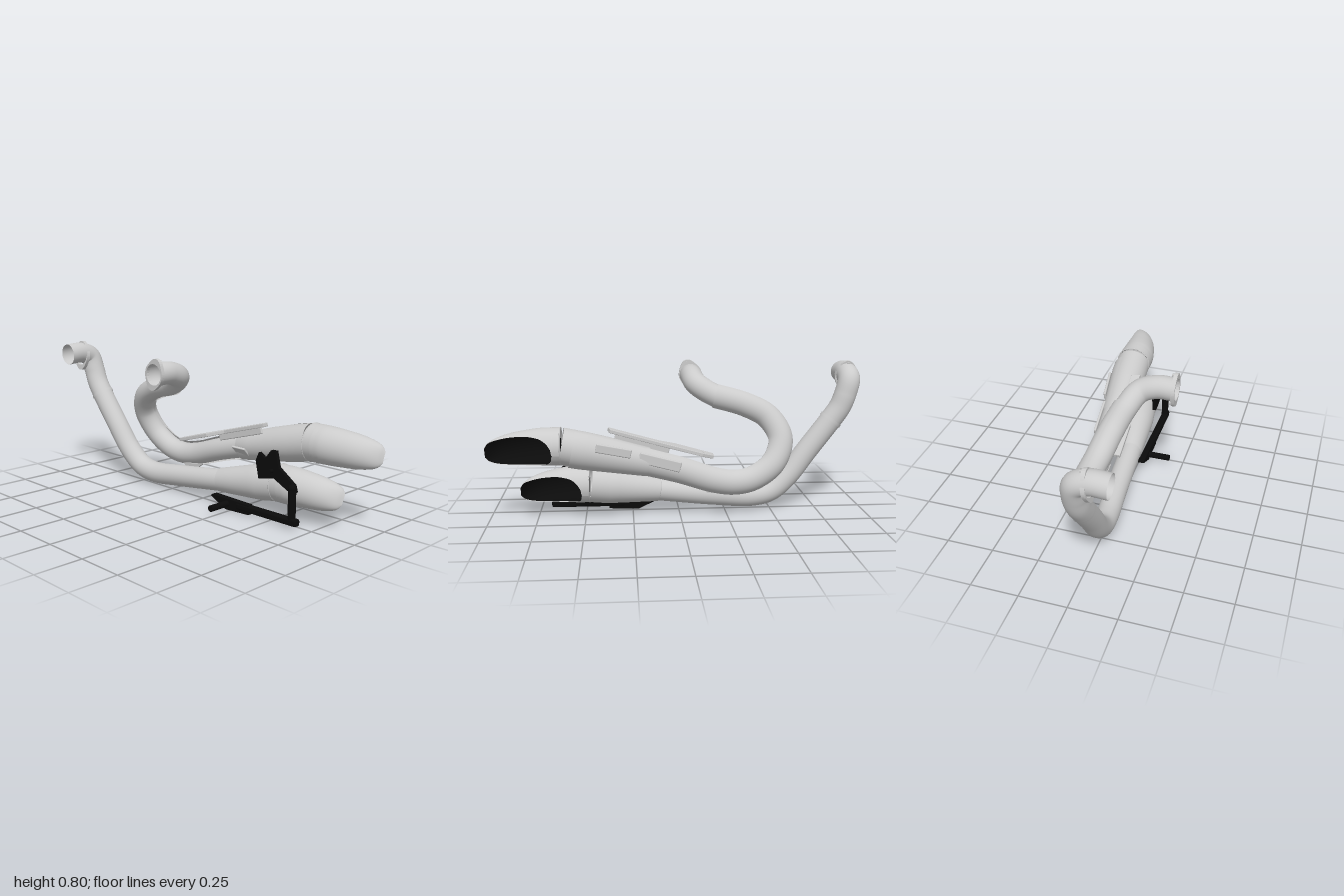
import * as THREE from 'three';
import { RoundedBoxGeometry } from 'three/addons/geometries/RoundedBoxGeometry.js';

const V = (p) => new THREE.Vector3(...p);
const grey = new THREE.MeshStandardMaterial({ color: 0xcccccc, side: THREE.DoubleSide });
const black = new THREE.MeshStandardMaterial({ color: 0x0b0b0b, side: THREE.DoubleSide });

const curveOf = (pts) => new THREE.CatmullRomCurve3(pts.map(V));

// Grid surface from a function of row and column in 0..1
function grid(rows, cols, fn) {
  const pos = [], idx = [];
  for (let i = 0; i <= rows; i++)
    for (let j = 0; j <= cols; j++) pos.push(...fn(i / rows, j / cols));
  for (let i = 0; i < rows; i++)
    for (let j = 0; j < cols; j++) {
      const a = i * (cols + 1) + j, b = a + cols + 1;
      idx.push(a, b, b + 1, a, b + 1, a + 1);
    }
  const g = new THREE.BufferGeometry();
  g.setAttribute('position', new THREE.Float32BufferAttribute(pos, 3));
  g.setIndex(idx);
  g.computeVertexNormals();
  return g;
}

// Open shell following a curve, wrapped around its +x side
function shell(curve, radius, halfAngle, rows) {
  return grid(rows, 24, (s, w) => {
    const t = curve.getTangentAt(s);
    const u = new THREE.Vector3(1, 0, 0).addScaledVector(t, -t.x).normalize();
    const v = t.clone().cross(u);
    const a = halfAngle * (1 - 2 * w), r = radius(s);
    return curve.getPointAt(s)
      .addScaledVector(u, r * Math.cos(a)).addScaledVector(v, r * Math.sin(a)).toArray();
  });
}

// Place a y-aligned mesh so that it runs from a to b
function along(mesh, a, b) {
  mesh.position.copy(a);
  mesh.quaternion.setFromUnitVectors(new THREE.Vector3(0, 1, 0), b.clone().sub(a).normalize());
  return mesh;
}

// Flat plate drawn in the side plane (z, y) and given a thickness along x
function sidePlate(pts, depth) {
  const shape = new THREE.Shape(pts.map(([z, y]) => new THREE.Vector2(-z, y)));
  return new THREE.ExtrudeGeometry(shape, { depth, bevelEnabled: false }).rotateY(Math.PI / 2);
}

// Tip stations: distance, centre x, half width, half height, wrap angle
const TIP = [
  [0, 0, 0.098, 0.098, Math.PI], [0.04, 0, 0.098, 0.098, Math.PI], [0.046, 0, 0.098, 0.098, 2.8],
  [0.065, 0, 0.097, 0.098, 2.5], [0.1, 0, 0.095, 0.097, 2.22], [0.18, 0.01, 0.087, 0.092, 1.95],
  [0.26, 0.025, 0.076, 0.084, 1.83], [0.32, 0.04, 0.058, 0.071, 1.74], [0.36, 0.05, 0.028, 0.052, 1.65],
  [0.378, 0.056, 0.003, 0.026, 1.6],
];

export function createModel() {
  const root = new THREE.Group();
  const add = (name, geo, mat = grey, pos = [0, 0, 0], rot = [0, 0, 0], parent = root) => {
    const m = new THREE.Mesh(geo, mat);
    m.name = name;
    m.position.set(...pos);
    m.rotation.set(...rot);
    parent.add(m);
    return m;
  };
  const rod = (name, a, b, r, sides = 20) => {
    const A = V(a), B = V(b), len = A.distanceTo(B);
    const g = new THREE.CylinderGeometry(r, r, len, sides).translate(0, len / 2, 0);
    along(add(name, g, black), A, B);
  };

  // Header pipes
  const upperPts = [
    [-0.27, 0.706, -0.085], [-0.17, 0.705, -0.085], [-0.085, 0.675, -0.105], [-0.037, 0.62, -0.2],
    [-0.014, 0.575, -0.36], [0.008, 0.51, -0.48], [0.056, 0.4, -0.54], [0.1, 0.28, -0.497],
    [0.12, 0.203, -0.39], [0.127, 0.183, -0.29], [0.13, 0.198, -0.18], [0.13, 0.255, 0], [0.14, 0.31, 0.2],
  ];
  const lowerPts = [
    [-0.205, 0.725, -0.935], [-0.11, 0.728, -0.935], [-0.045, 0.70, -0.934], [-0.03, 0.62, -0.912],
    [-0.03, 0.55, -0.884], [-0.03, 0.475, -0.832], [-0.025, 0.31, -0.705], [-0.015, 0.17, -0.597],
    [-0.006, 0.093, -0.503], [0, 0.07, -0.4], [0.015, 0.085, -0.2], [0.03, 0.122, 0.12],
  ];
  add('upperPipe', new THREE.TubeGeometry(curveOf(upperPts), 140, 0.061, 32));
  add('lowerPipe', new THREE.TubeGeometry(curveOf(lowerPts), 140, 0.06, 32));

  // Slip joint collar on the lower pipe
  along(add('slipJoint', new THREE.CylinderGeometry(0.0635, 0.0635, 0.016, 32, 1, true)),
    V([-0.03, 0.48, -0.836]), V([-0.029, 0.45, -0.813]));

  // Oval two-bolt flanges with bolts, facing along x
  const oval = new THREE.Shape();
  for (let i = 0; i < 48; i++) {
    const a = (i / 48) * Math.PI * 2, r = 0.065 + 0.022 * Math.pow(Math.abs(Math.cos(a)), 6);
    oval[i ? 'lineTo' : 'moveTo'](r * Math.sin(a), r * Math.cos(a));
  }
  oval.holes.push(new THREE.Path().absarc(0, 0, 0.056, 0, Math.PI * 2, true));
  const flangeGeo = new THREE.ExtrudeGeometry(oval, { depth: 0.02, bevelEnabled: false }).rotateY(Math.PI / 2);
  for (const [name, pos, rot] of [
    ['upperFlange', [-0.276, 0.706, -0.085], [0.3, 0, 0]],
    ['lowerFlange', [-0.112, 0.712, -0.935], [-0.05, 0, -0.12]],
  ]) {
    const f = new THREE.Group();
    f.name = name;
    f.position.set(...pos);
    f.rotation.set(...rot);
    root.add(f);
    add('flangePlate', flangeGeo, grey, [0, 0, 0], [0, 0, 0], f);
    for (const s of [-1, 1])
      add('flangeBolt', new THREE.CylinderGeometry(0.008, 0.008, 0.03, 6), grey, [0.018, s * 0.073, 0], [0, 0, Math.PI / 2], f);
  }

  // Heat shield over the looped pipe
  add('pipeHeatShield', shell(curveOf(upperPts.slice(3)), (s) => 0.068 + 0.008 * s * s, 1.3, 110));

  // Mufflers: turned body, rim, baffle ring and turned-out open tip with a dark lining
  const muffler = (name, a, b, profile, tipScale, roll) => {
    const A = V(a), B = V(b), len = A.distanceTo(B);
    const g = new THREE.LatheGeometry(profile.map(([r, t]) => new THREE.Vector2(r, t * len)), 40);
    along(add(name + 'Body', g), A, B);
    add(name + 'Rim', new THREE.TorusGeometry(0.0975, 0.003, 8, 40), grey, b);
    add(name + 'Baffle', new THREE.RingGeometry(0.045, 0.094, 40), grey, b);
    const path = new THREE.CatmullRomCurve3(TIP.map((r) => V(r.slice(0, 3))));
    const side = new THREE.CatmullRomCurve3(TIP.map((r) => V([r[3], r[4], 0])));
    const tip = (fit) => grid(48, 32, (s, w) => {
      const p = path.getPoint(s), q = side.getPoint(s), th = Math.min(q.y, Math.PI) * (2 * w - 1);
      return [p.y - fit * p.z * Math.cos(th), fit * q.x * Math.sin(th), p.x * tipScale];
    });
    add(name + 'TipOuter', tip(1), grey, b, [0, 0, roll]);
    add(name + 'TipLining', tip(0.955), black, b, [0, 0, roll]);
  };
  const upA = [0.138, 0.302, 0.17], upB = [0.166, 0.397, 0.62];
  muffler('upperMuffler', upA, upB, [[0.06, 0], [0.074, 0.01], [0.08, 0.2], [0.091, 0.5], [0.096, 0.75], [0.097, 1]], 1, -0.35);
  muffler('lowerMuffler', [0.03, 0.122, 0.11], [0.085, 0.174, 0.48],
    [[0.06, 0], [0.065, 0.01], [0.078, 0.3], [0.091, 0.6], [0.096, 0.72], [0.097, 1]], 0.94, -0.45);

  // Muffler heat shield with raised panels on the outer side
  const shieldLine = new THREE.LineCurve3(V(upA), V(upA).lerp(V(upB), 0.88));
  add('mufflerHeatShield', shell(shieldLine, (s) => 0.08 + 0.025 * Math.min(1, s * 1.15), 1.1, 20));
  add('frontPanel', new RoundedBoxGeometry(0.014, 0.046, 0.185, 4, 0.006), grey, [0.241, 0.383, 0.35], [-0.22, 0.13, 0]);
  add('rearPanel', new RoundedBoxGeometry(0.014, 0.055, 0.225, 4, 0.006), grey, [0.208, 0.312, 0.112], [-0.27, 0.06, 0]);

  // Long mounting plate between the pipes, with a bolt hole
  const plate = new THREE.Shape([[0, -0.19], [0.055, -0.19], [0.075, -0.13], [0.09, 0.1], [0.1, 0.38], [0.055, 0.39], [0.045, 0.12], [0.005, 0.02]]
    .map((p) => new THREE.Vector2(...p)));
  plate.holes.push(new THREE.Path().absarc(0.04, -0.14, 0.014, 0, Math.PI * 2, true));
  const plateGeo = new THREE.ExtrudeGeometry(plate, { depth: 0.014, bevelSize: 0.003, bevelThickness: 0.003, bevelSegments: 2 });
  add('mountingPlate', plateGeo.rotateX(Math.PI / 2), grey, [0, 0.36, 0], [-0.28, 0, 0]);
  add('plateFlange', new RoundedBoxGeometry(0.012, 0.04, 0.3, 3, 0.005), grey, [0.08, 0.385, 0.2], [-0.28, 0.05, 0]);
  add('pipeTab', sidePlate([[-0.09, 0.16], [-0.24, 0.14], [-0.21, 0.115], [-0.15, 0.11]], 0.012), grey, [0.08, 0, 0]);
  add('linkPlate', new RoundedBoxGeometry(0.08, 0.012, 0.09, 2, 0.004), grey, [0.07, 0.29, 0.22], [0, 0, -0.8]);

  // Black support: bar, hub, post, peg and hanger plate
  add('supportBar', new RoundedBoxGeometry(0.04, 0.038, 0.4, 3, 0.012), black, [-0.033, 0.035, 0.49]);
  add('supportHub', sidePlate([[0.38, 0.006], [0.22, 0], [0.11, 0.052], [0.12, 0.062], [0.38, 0.056]], 0.034), black, [-0.05, 0, 0]);
  rod('footPeg', [-0.172, 0.033, 0.228], [-0.02, 0.033, 0.228], 0.017);
  rod('supportPost', [-0.032, 0.03, 0.65], [-0.032, 0.205, 0.65], 0.02);
  add('postTop', new THREE.SphereGeometry(0.021, 20, 12), black, [-0.032, 0.205, 0.65]);
  add('hangerPlate', sidePlate([[0.67, 0.185], [0.62, 0.185], [0.53, 0.23], [0.43, 0.21], [0.41, 0.3], [0.43, 0.345],
    [0.47, 0.32], [0.51, 0.37], [0.54, 0.37], [0.56, 0.29], [0.66, 0.22]], 0.02), black, [-0.032, 0, 0]);
  rod('hangerBolt', [-0.052, 0.267, 0.52], [-0.005, 0.267, 0.52], 0.01, 6);
  return root;
}
